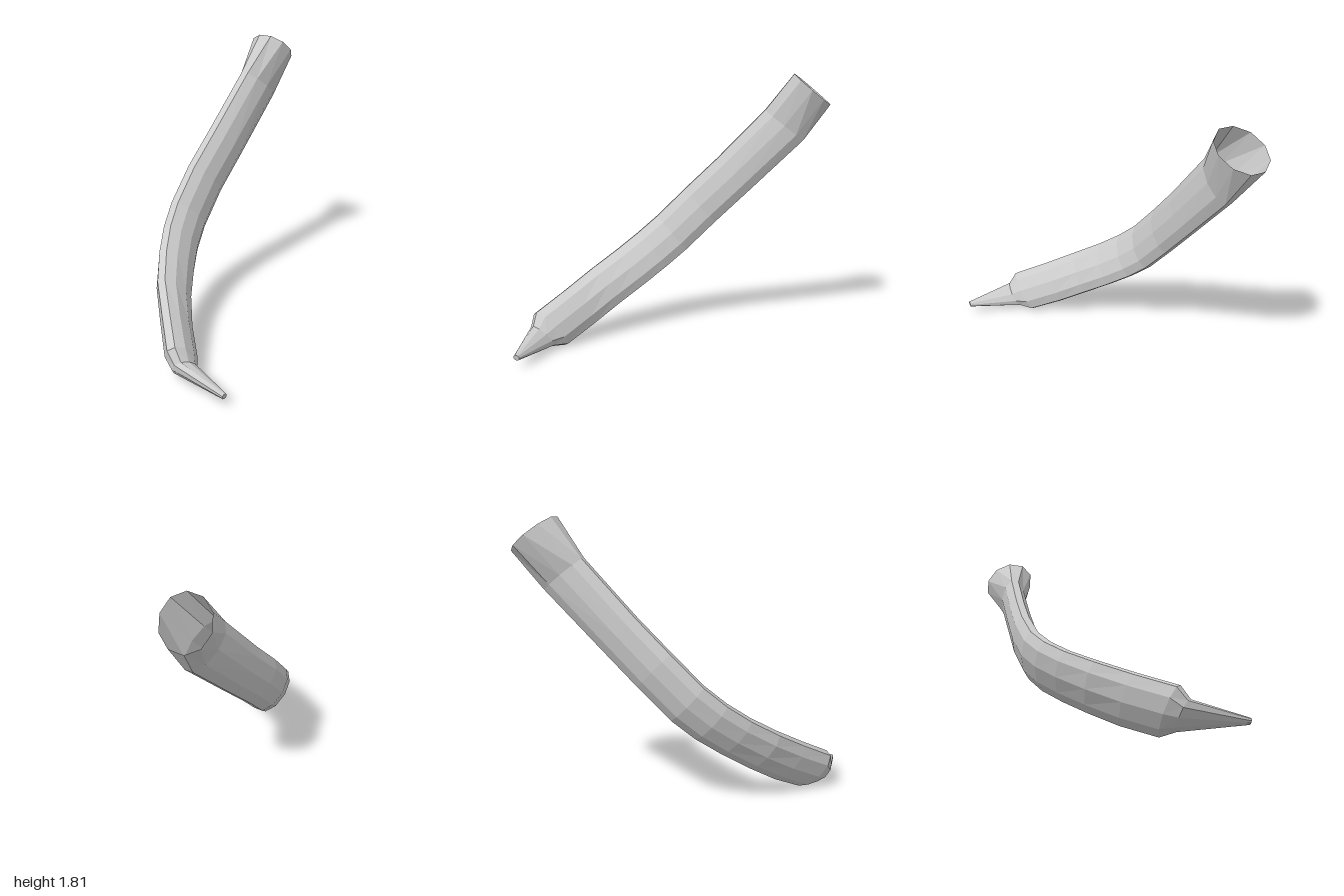
import * as THREE from 'three';

const SIDES = 10;

// Each ring: centre, long half-axis, short half-axis
const mouth = [[0.87, 1.705, -0.385], [-0.131, 0.108, 0.02], [0.01, 0, -0.165]];
const neck = [[0.685, 1.46, -0.39], [-0.137, 0.105, -0.025], [0, 0, -0.085]];
const bend = [
  neck,
  [[0.33, 1.1, -0.42], [-0.117, 0.115, -0.03], [0, 0, -0.083]],
  [[0.11, 0.885, -0.437], [-0.115, 0.117, -0.03], [0, 0, -0.083]],
  [[-0.095, 0.68, -0.425], [-0.112, 0.12, -0.03], [-0.008, -0.008, -0.083]],
  [[-0.235, 0.56, -0.38], [-0.108, 0.122, -0.03], [-0.018, -0.017, -0.08]],
  [[-0.38, 0.45, -0.3], [-0.103, 0.124, -0.03], [-0.026, -0.023, -0.077]],
  [[-0.545, 0.335, -0.187], [-0.102, 0.125, -0.02], [-0.036, -0.032, -0.07]],
  [[-0.7, 0.225, -0.04], [-0.102, 0.124, 0], [-0.042, -0.037, -0.063]],
  [[-0.86, 0.122, 0.13], [-0.108, 0.115, 0.01], [-0.046, -0.038, -0.062]],
];
const clawBase = [[-0.905, 0.09, 0.19], [-0.07, 0.07, 0.005], [-0.04, -0.03, -0.05]];
const clawTip = [[-0.98, 0.075, 0.545], [-0.015, 0.013, 0], [-0.012, -0.013, -0.003]];

// Point on a ring; the half-step puts flat edges at the ends of the long axis
function ringPoint([c, l, s], j) {
  const a = ((j + 0.5) / SIDES) * Math.PI * 2;
  return c.map((v, k) => v + l[k] * Math.cos(a) + s[k] * Math.sin(a));
}

// Skin a row of rings, with an optional flat cap on the last one
function loft(name, rings, material, cap = false) {
  const pos = [];
  for (let j = 0; j < SIDES; j++) {
    for (let i = 0; i < rings.length - 1; i++) {
      const a = ringPoint(rings[i], j), b = ringPoint(rings[i], j + 1);
      const c = ringPoint(rings[i + 1], j), d = ringPoint(rings[i + 1], j + 1);
      pos.push(...a, ...b, ...c, ...b, ...d, ...c);
    }
    if (cap) {
      const last = rings[rings.length - 1];
      pos.push(...last[0], ...ringPoint(last, j), ...ringPoint(last, j + 1));
    }
  }
  const geometry = new THREE.BufferGeometry();
  geometry.setAttribute('position', new THREE.Float32BufferAttribute(pos, 3));
  geometry.computeVertexNormals();
  const mesh = new THREE.Mesh(geometry, material);
  mesh.name = name;
  return mesh;
}

export function createModel() {
  const group = new THREE.Group();
  group.name = 'curvedLimb';
  const material = new THREE.MeshStandardMaterial({
    color: 0xcccccc, flatShading: true, side: THREE.DoubleSide,
  });
  // Open flared end, bent shaft, rounded shoulder and pointed claw
  group.add(
    loft('flaredSocket', [mouth, neck], material),
    loft('shaft', bend, material),
    loft('shoulder', [bend[bend.length - 1], clawBase], material),
    loft('claw', [clawBase, clawTip], material, true),
  );
  return group;
}
